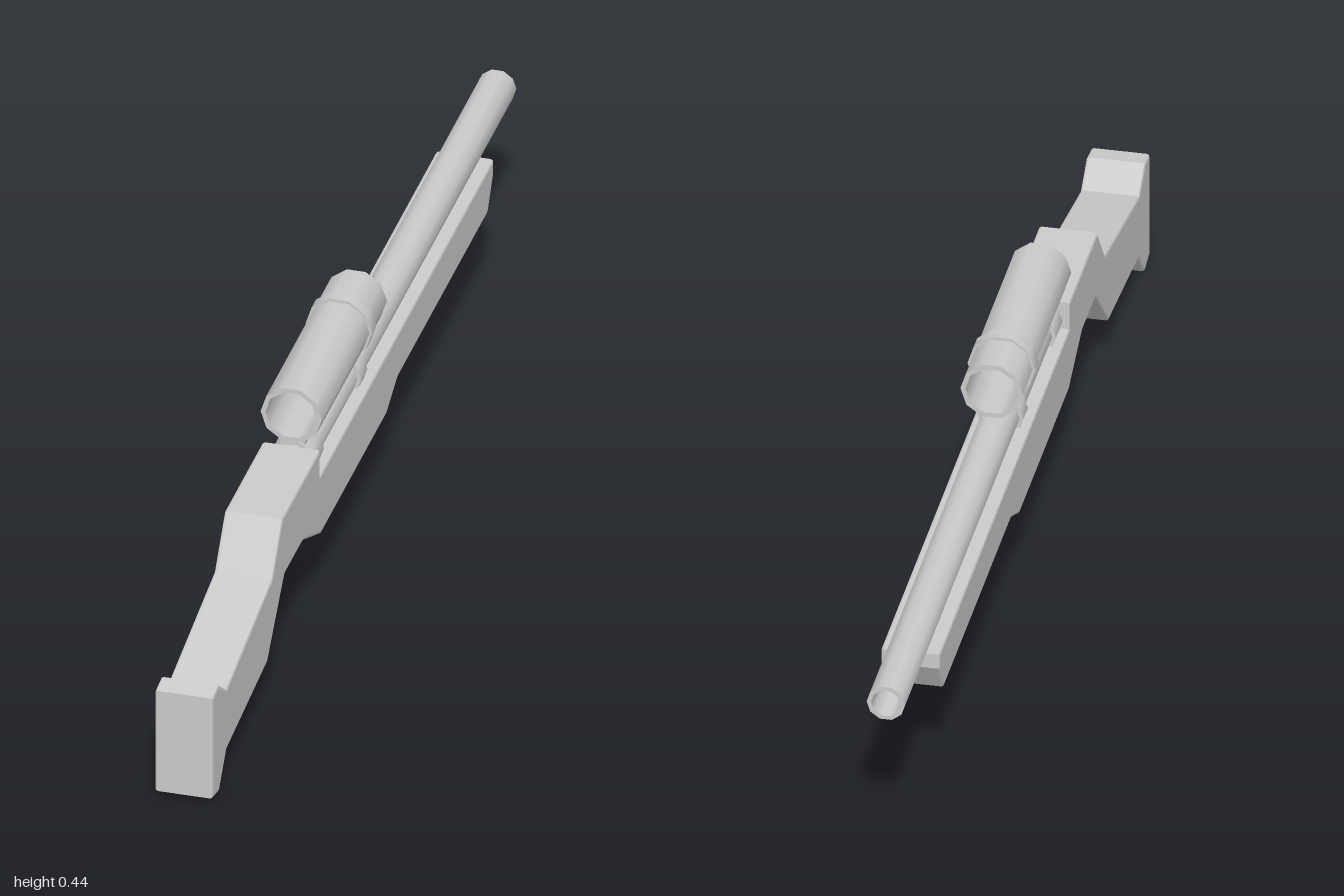
import * as THREE from 'three';
import { toCreasedNormals } from 'three/addons/utils/BufferGeometryUtils.js';

const SIDES = 10;
const BARREL_Y = 0.284, SCOPE_Y = 0.38;

export function createModel() {
  const group = new THREE.Group();
  const material = new THREE.MeshStandardMaterial({ color: 0xcccccc });

  function add(name, geometry, x = 0, y = 0, z = 0) {
    const mesh = new THREE.Mesh(geometry, material);
    mesh.name = name;
    mesh.position.set(x, y, z);
    group.add(mesh);
    return mesh;
  }

  // Side outline given as (z, y), extruded across x and centred, with a small rounded bevel
  function sideExtrude(shape, width, bevel) {
    const depth = width - 2 * bevel;
    const geometry = new THREE.ExtrudeGeometry(shape, {
      depth, curveSegments: 5, bevelEnabled: bevel > 0,
      bevelThickness: bevel, bevelSize: bevel, bevelOffset: -bevel, bevelSegments: 2,
    });
    return geometry.translate(0, 0, -depth / 2).rotateY(-Math.PI / 2);
  }

  // Hollow tube along z between two ends
  function tube(outer, inner, zRear, zFront) {
    const profile = [[inner, -zRear], [outer, -zRear], [outer, -zFront], [inner, -zFront], [inner, -zRear]]
      .map(([r, y]) => new THREE.Vector2(r, y));
    const geometry = new THREE.LatheGeometry(profile, SIDES, Math.PI / 2);
    return toCreasedNormals(geometry.rotateX(-Math.PI / 2), 0.7);
  }

  // Stock: butt, grip, receiver and fore-end in one outline
  const stock = new THREE.Shape([
    [1, 0.01], [1, 0.212], [0.96, 0.217], [0.91, 0.18], [0.62, 0.234], [0.555, 0.318],
    [0.315, 0.318], [0.315, 0.265], [-0.792, 0.265], [-0.792, 0.236], [-0.755, 0.178],
    [-0.18, 0.178], [-0.11, 0.145], [0.308, 0.145], [0.422, 0.197], [0.54, 0.197],
    [0.65, 0.083], [0.91, 0.057], [0.957, 0],
  ].map(([z, y]) => new THREE.Vector2(z, y)));
  add('stock', sideExtrude(stock, 0.104, 0.005));

  // Curved trigger hooking forward
  const trigger = new THREE.Shape();
  trigger.moveTo(0.505, 0.2);
  trigger.quadraticCurveTo(0.505, 0.14, 0.45, 0.138);
  trigger.quadraticCurveTo(0.478, 0.155, 0.473, 0.2);
  trigger.closePath();
  add('trigger', sideExtrude(trigger, 0.022, 0));

  // Barrel with an open bore
  add('barrel', tube(0.034, 0.026, 0.318, -1), 0, BARREL_Y);

  // Sight tube, open at both ends, with its raised ring
  add('scopeTube', tube(0.055, 0.046, 0.315, -0.1), 0, SCOPE_Y);
  add('scopeRing', tube(0.06, 0.046, 0.012, -0.015), 0, SCOPE_Y);

  // Mounts: a band around the barrel and a short block up to the sight
  for (const [name, zRear, zFront] of [['rearMount', 0.308, 0.252], ['frontMount', 0.013, -0.025]]) {
    add(name + 'Band', tube(0.041, 0.032, zRear, zFront), 0, BARREL_Y);
    const block = new THREE.BoxGeometry(0.044, 0.016, zRear - zFront - 0.008);
    add(name + 'Block', block, 0, 0.325, (zRear + zFront) / 2);
  }

  return group;
}
